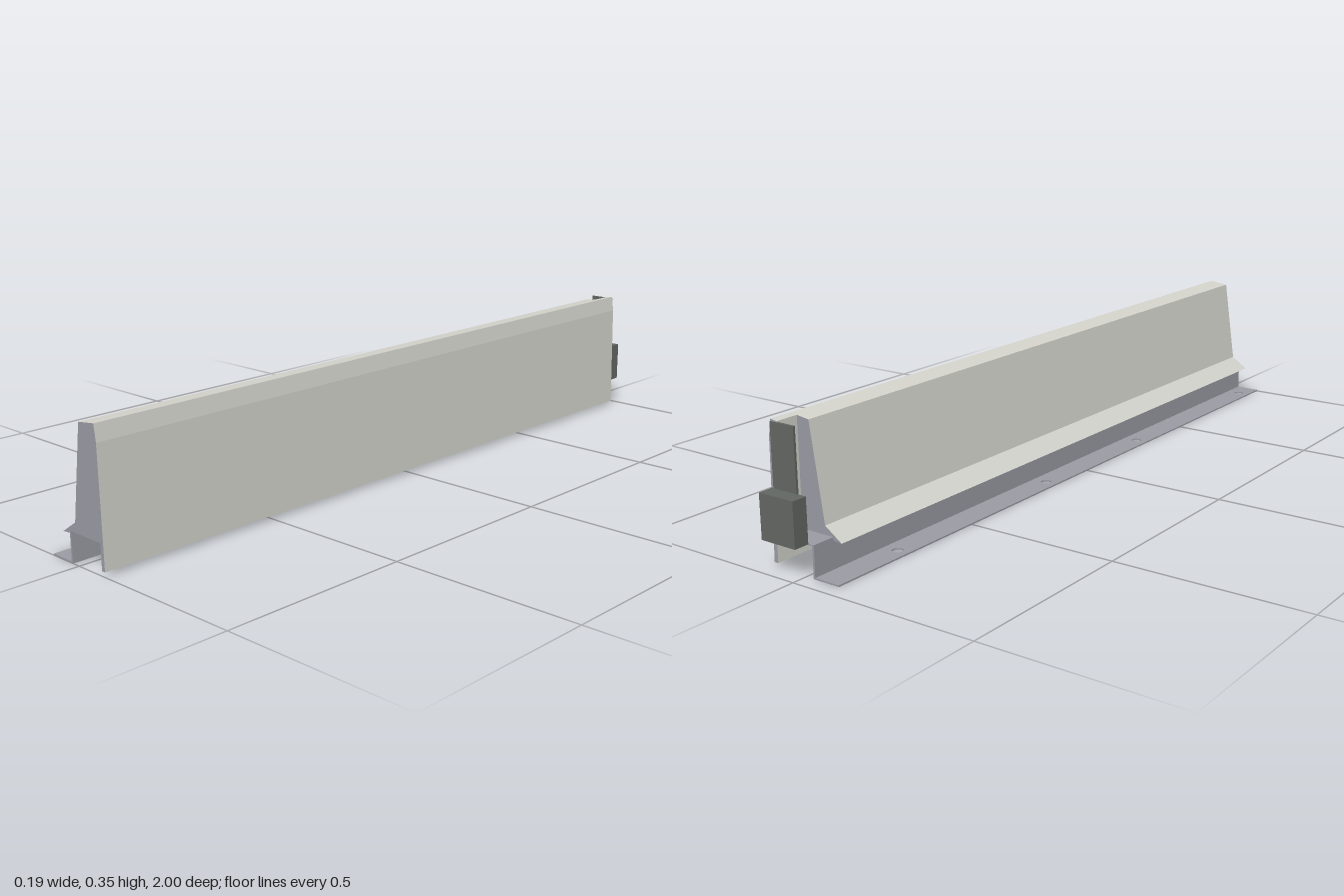
import * as THREE from 'three';

const paint = (color) => new THREE.MeshStandardMaterial({ color, flatShading: true });

export function createModel() {
  const group = new THREE.Group();
  const skin = paint(0xd3d3cc), steel = paint(0x9a9aa4), dark = paint(0x626662);
  const front = 1, notch = -0.9, back = -0.96;

  const add = (name, geometry, material) => {
    const mesh = new THREE.Mesh(geometry, material);
    mesh.name = name;
    group.add(mesh);
    return mesh;
  };
  // Run an x/y section along z
  const run = (name, points, z0, z1, material) => {
    const shape = new THREE.Shape(points.map(([x, y]) => new THREE.Vector2(x, y)));
    const geometry = new THREE.ExtrudeGeometry(shape, { depth: z1 - z0, bevelEnabled: false });
    return add(name, geometry.translate(0, 0, z0), material);
  };
  const box = (name, [x0, x1], [y0, y1], [z0, z1], material) => add(name,
    new THREE.BoxGeometry(x1 - x0, y1 - y0, z1 - z0)
      .translate((x0 + x1) / 2, (y0 + y1) / 2, (z0 + z1) / 2), material);

  // Tapered barrier body with drip edge and hanging outer lip; steel end caps
  const outerFace = [[0.086, 0.08], [0.086, 0.012], [0.097, 0.012], [0.091, 0.305], [0.085, 0.347]];
  run('body', [
    [-0.053, 0.07], [-0.028, 0.072], [-0.023, 0.08], ...outerFace,
    [0.03, 0.34], [-0.005, 0.102],
  ], notch, front, [steel, skin]);

  // Outer wall carries on past the end notch
  run('outerWallEnd', [[0.065, 0.08], ...outerFace, [0.065, 0.3445]], back, notch, [steel, skin]);

  // Z-shaped mounting bracket: top plate, web and drilled foot
  run('bracket', [
    [-0.028, 0.0], [-0.023, 0.0], [-0.023, 0.077], [0.086, 0.077], [0.086, 0.08], [-0.028, 0.08],
  ], back, front, steel);

  const foot = new THREE.Shape();
  foot.moveTo(-0.098, -front);
  foot.lineTo(-0.028, -front);
  foot.lineTo(-0.028, -back);
  foot.lineTo(-0.098, -back);
  for (const z of [-0.735, -0.15, 0.3, 0.93]) {
    const hole = new THREE.Path();
    hole.absarc(-0.067, -z, 0.014, 0, Math.PI * 2, true);
    foot.holes.push(hole);
  }
  add('bracketFoot', new THREE.ExtrudeGeometry(foot, { depth: 0.004, bevelEnabled: false, curveSegments: 16 })
    .rotateX(-Math.PI / 2), steel);

  // Thin end plate and the block mounted on it
  box('endPlate', [0.014, 0.085], [0.08, 0.342], [back - 0.002, back + 0.004], dark);
  box('endBlock', [-0.012, 0.09], [0.079, 0.189], [-1, back], dark);

  return group;
}
